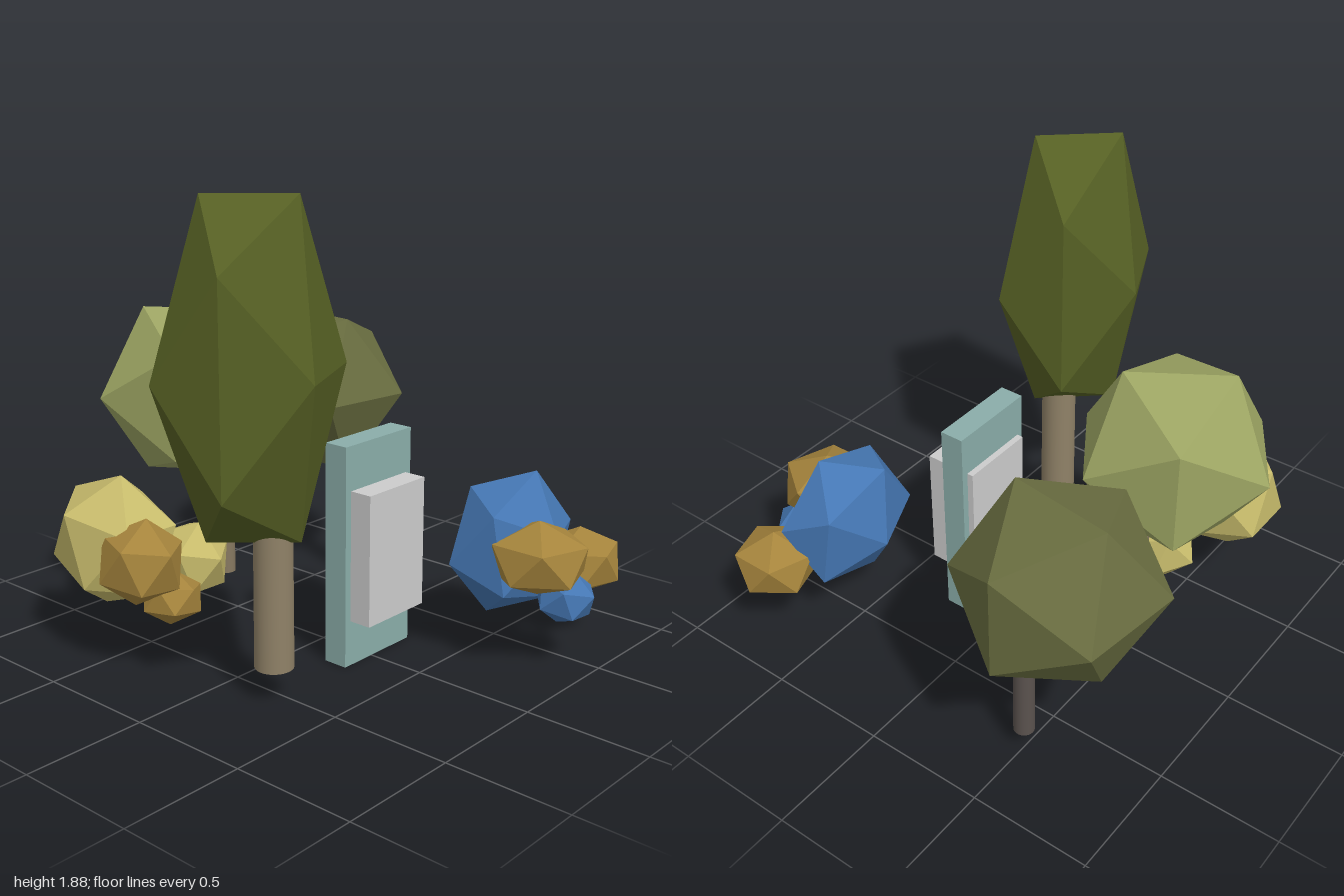
import * as THREE from 'three';

const V = (a) => new THREE.Vector3(...a);

function add(group, name, geometry, color, pos) {
  const material = new THREE.MeshStandardMaterial({ color, flatShading: !name.endsWith('Trunk') });
  const mesh = new THREE.Mesh(geometry, material);
  mesh.name = name;
  mesh.position.set(...pos);
  group.add(mesh);
}

// rotation frame whose y axis is the pole and whose x axis leans towards side
function frame(pole, side) {
  const y = V(pole).normalize();
  const z = V(side).cross(y).normalize();
  return new THREE.Matrix4().makeBasis(y.clone().cross(z), y, z);
}

// 20-sided blob with one corner at the pole and a neighbouring corner towards side
function blob(pole, side, scale) {
  const t = (1 + Math.sqrt(5)) / 2;
  const base = frame([1, t, 0], [-1, t, 0]).transpose();
  return new THREE.IcosahedronGeometry(1, 0)
    .applyMatrix4(base).applyMatrix4(frame(pole, side)).scale(...scale);
}

function box(group, name, color, min, max) {
  const size = max.map((m, i) => m - min[i]);
  add(group, name, new THREE.BoxGeometry(...size), color, max.map((m, i) => (m + min[i]) / 2));
}

export function createModel() {
  const model = new THREE.Group();
  model.name = 'garden';

  // trees: faceted crown, turned about y and then stretched, on a round trunk
  const trees = [
    { name: 'tall', leaf: 0x566024, bark: 0x8f8167, at: [-0.605, 1.255, 0.2], scale: [0.402, 0.735, 0.293],
      turn: -1, trunk: [-0.535, 0.23], r: 0.075, bottom: 0.13 },
    { name: 'pale', leaf: 0x9da563, bark: 0x867860, at: [-0.13, 0.98, -0.6], scale: [0.402, 0.405, 0.402],
      turn: -1, trunk: [-0.07, -0.5], r: 0.042, bottom: 0.19 },
    { name: 'dark', leaf: 0x696d40, bark: 0x5a524e, at: [0.62, 0.855, -0.6], scale: [0.405, 0.405, 0.405],
      turn: 1.44, trunk: [0.68, -0.49], r: 0.042, bottom: 0.09 },
  ];
  for (const t of trees) {
    const tree = new THREE.Group();
    tree.name = t.name + 'Tree';
    const crown = new THREE.IcosahedronGeometry(1, 0).rotateY(t.turn).scale(...t.scale);
    add(tree, t.name + 'Crown', crown, t.leaf, t.at);
    const h = t.at[1] - t.bottom;
    add(tree, t.name + 'Trunk', new THREE.CylinderGeometry(t.r * 0.95, t.r, h, 24), t.bark,
      [t.trunk[0], t.bottom + h / 2, t.trunk[1]]);
    model.add(tree);
  }

  // upright slab with a thicker panel set through it
  box(model, 'slab', 0x8aada9, [-0.16, 0, 0.152], [0.232, 0.9, 0.255]);
  box(model, 'panel', 0xcccccc, [-0.13, 0.187, 0.125], [0.202, 0.72, 0.35]);

  // bushes: clusters of flattened blobs [name, colour, centre, pole, side, scale]
  const blue = 0x4577b3, gold = 0xa5843c, yellow = 0xc8bc6c;
  const bushes = {
    frontBush: [
      ['largeBlueBlob', blue, [0.44, 0.45, 0.61], [0, 0.2, 0.98], [1, 0.05, 0], [0.32, 0.31, 0.22]],
      ['innerGoldBlob', gold, [0.345, 0.455, 0.8], [0, 1, 0], [1, 0, 0], [0.21, 0.15, 0.215]],
      ['smallBlueBlob', blue, [0.45, 0.278, 0.865], [0.15, 0.95, 0.2], [1, 0, 0.3], [0.13, 0.108, 0.125]],
      ['outerGoldBlob', gold, [0.73, 0.325, 0.75], [0, 1, 0], [-1, 0, 0], [0.185, 0.145, 0.185]],
    ],
    backBush: [
      ['largeYellowBlob', yellow, [-0.63, 0.465, -0.555], [0, 0.98, 0.2], [0, 0, -1], [0.235, 0.285, 0.29]],
      ['upperGoldBlob', gold, [-0.69, 0.445, -0.325], [0.1, 1, 0.1], [-1, 0, 0.3], [0.18, 0.178, 0.18]],
      ['lowerGoldBlob', gold, [-0.57, 0.275, -0.285], [0.2, 1, -0.1], [1, 0, 0.3], [0.132, 0.105, 0.128]],
      ['sideYellowBlob', yellow, [-0.31, 0.325, -0.45], [0, 0.2, 0.98], [0.95, 0.3, 0], [0.16, 0.17, 0.175]],
    ],
  };
  for (const [bushName, blobs] of Object.entries(bushes)) {
    const bush = new THREE.Group();
    bush.name = bushName;
    for (const [name, color, at, pole, side, scale] of blobs) {
      add(bush, name, blob(pole, side, scale), color, at);
    }
    model.add(bush);
  }
  return model;
}
